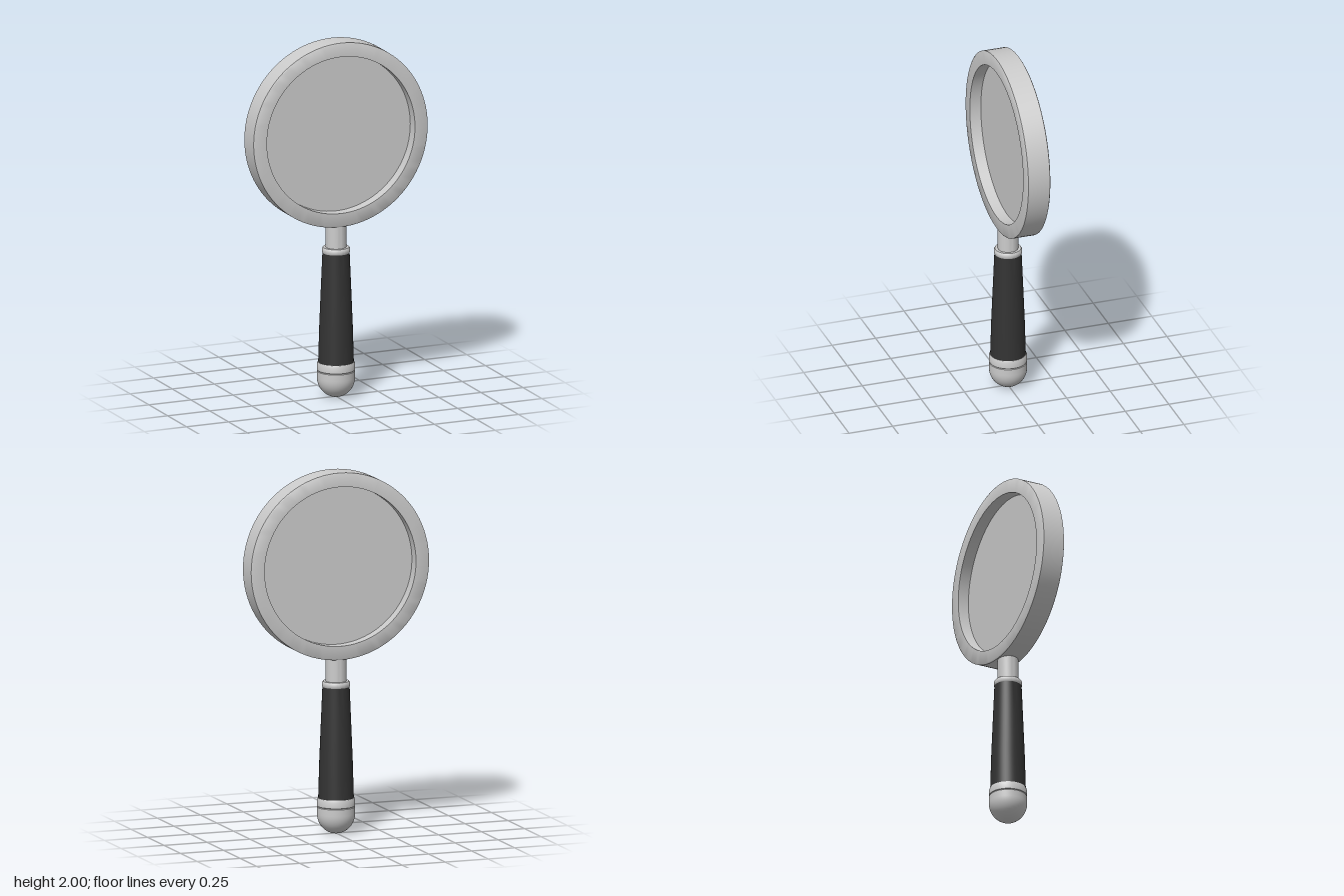
import * as THREE from 'three';
import { toCreasedNormals } from 'three/addons/utils/BufferGeometryUtils.js';

const RIM_Y = 1.483;

export function createModel() {
  const group = new THREE.Group();
  const metal = new THREE.MeshStandardMaterial({ color: 0xcccccc });
  const dark = new THREE.MeshStandardMaterial({ color: 0x333333 });

  // Turned part from [radius, height] points, bottom to top
  const turned = (name, points, material = metal, segments = 48) => {
    const profile = points.map(([r, y]) => new THREE.Vector2(r, y));
    const geometry = toCreasedNormals(new THREE.LatheGeometry(profile, segments), 0.6);
    const mesh = new THREE.Mesh(geometry, material);
    mesh.name = name;
    group.add(mesh);
    return mesh;
  };

  // Round frame: a closed ring section with slightly eased outer edges
  const frame = turned('frame', [
    [0.44, -0.066], [0.51, -0.066], [0.517, -0.062],
    [0.517, 0.062], [0.51, 0.066], [0.44, 0.066], [0.44, -0.066],
  ], metal, 96);
  // Thin glass set midway through the frame
  const lens = turned('lens', [[0, -0.003], [0.442, -0.003], [0.442, 0.003], [0, 0.003]], metal, 96);
  for (const part of [frame, lens]) {
    part.rotation.x = Math.PI / 2;
    part.position.y = RIM_Y;
  }

  // Handle: neck, collar, tapered grip
  turned('neck', [[0.056, 0.83], [0.056, 0.975]]);
  turned('collar', [[0, 0.808], [0.073, 0.808], [0.077, 0.815], [0.077, 0.832], [0.071, 0.841], [0, 0.841]]);
  turned('grip', [[0.097, 0.19], [0.091, 0.4], [0.082, 0.62], [0.074, 0.81]], dark);

  // Band and domed end cap
  turned('band', [[0.1, 0.148], [0.104, 0.153], [0.104, 0.184], [0.099, 0.197], [0, 0.197]]);
  const dome = [];
  for (let i = 0; i <= 14; i++) {
    const a = (i / 14) * Math.PI / 2;
    dome.push([0.104 * Math.sin(a), 0.11 * (1 - Math.cos(a))]);
  }
  turned('endCap', [...dome, [0.104, 0.146], [0.1, 0.15]]);

  return group;
}
